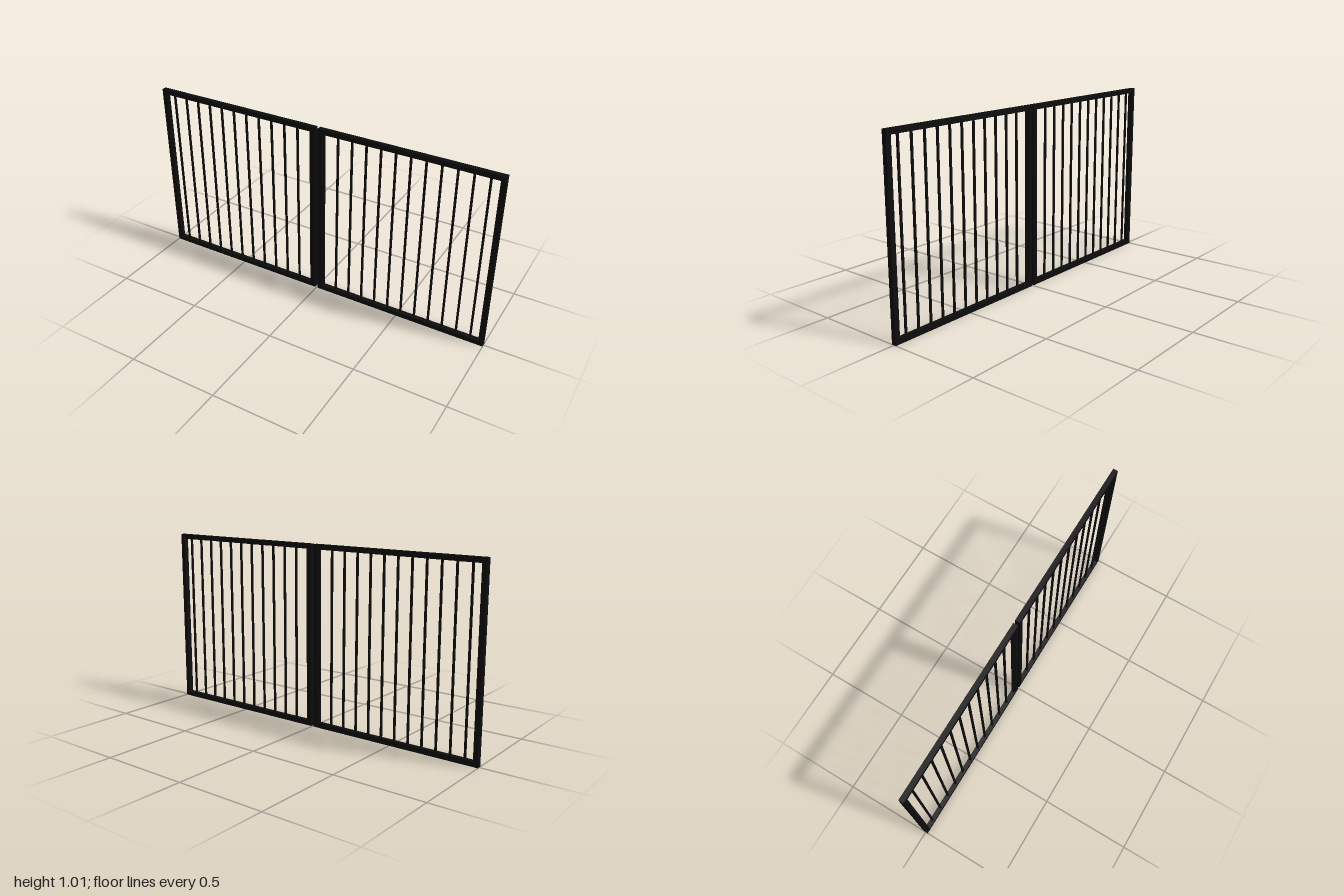
import * as THREE from 'three';

const H = 1.008, T = 0.027, INNER = 0.008, OUTER = 1;

export function createModel() {
  const group = new THREE.Group();
  const iron = new THREE.MeshStandardMaterial({ color: 0x0c0c0c });
  iron.name = 'black iron';

  function box(parent, name, w, h, d, x, y) {
    const mesh = new THREE.Mesh(new THREE.BoxGeometry(w, h, d), iron);
    mesh.name = name;
    mesh.position.set(x, y, 0);
    parent.add(mesh);
  }

  // Two mirrored gate leaves with a narrow gap between them
  for (const side of [1, -1]) {
    const leaf = new THREE.Group();
    leaf.name = side > 0 ? 'leftLeaf' : 'rightLeaf';

    // Square tube frame
    box(leaf, 'outerStile', T, H, T, side * (OUTER - T / 2), H / 2);
    box(leaf, 'innerStile', T, H, T, side * (INNER + T / 2), H / 2);
    const railLength = OUTER - INNER - 2 * T;
    const railX = side * (OUTER + INNER) / 2;
    box(leaf, 'topRail', railLength, T, T, railX, H - T / 2);
    box(leaf, 'bottomRail', railLength, T, T, railX, T / 2);

    // Thin upright bars, the first one against the inner stile
    for (let i = 0; i < 12; i++) {
      box(leaf, 'bar', 0.01, H - 2 * T, 0.01, side * (0.04 + i * 0.0804), H / 2);
    }
    group.add(leaf);
  }
  return group;
}
